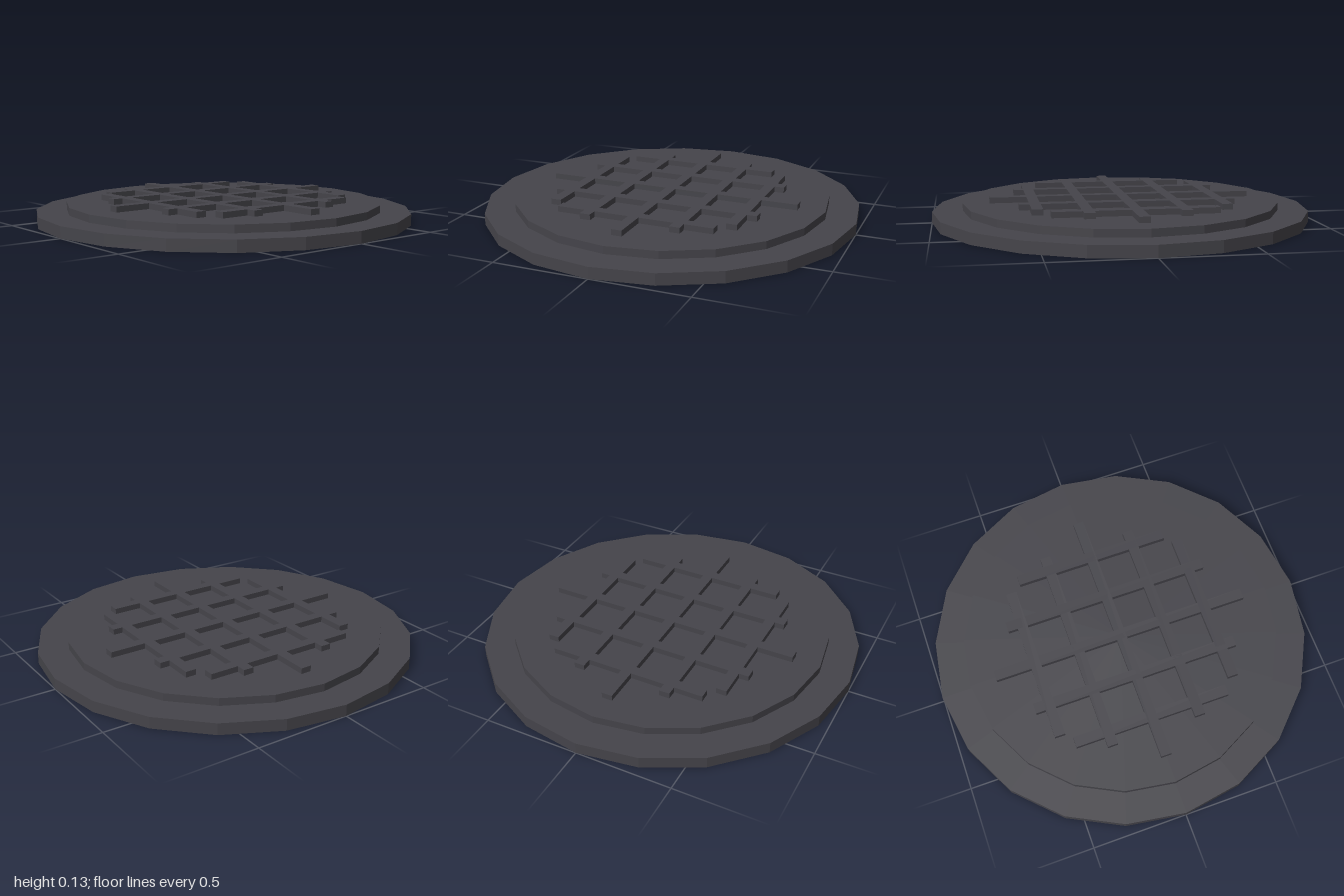
import * as THREE from 'three';

export function createModel() {
  const group = new THREE.Group();
  const iron = new THREE.MeshStandardMaterial({ color: 0x45444a });
  iron.name = 'dark iron';
  iron.flatShading = true;

  const add = (name, geometry, x, y, z) => {
    const mesh = new THREE.Mesh(geometry, iron);
    mesh.name = name;
    mesh.position.set(x, y, z);
    group.add(mesh);
  };

  // Stepped 20-sided discs
  add('rim', new THREE.CylinderGeometry(1, 1, 0.06, 20), 0, 0.03, 0);
  add('lid', new THREE.CylinderGeometry(0.84, 0.84, 0.04, 20), 0, 0.08, 0);

  // Raised grid: bars get shorter away from the centre
  const width = 0.056, height = 0.03, y = 0.115;
  for (let i = -2; i <= 2; i++) {
    const offset = i * 0.24;
    const length = 1.4 * (1 - 0.2 * Math.abs(i));
    add('crossBar', new THREE.BoxGeometry(length, height, width), 0, y, offset);
    add('longBar', new THREE.BoxGeometry(width, height, length), offset, y, 0);
  }
  return group;
}
